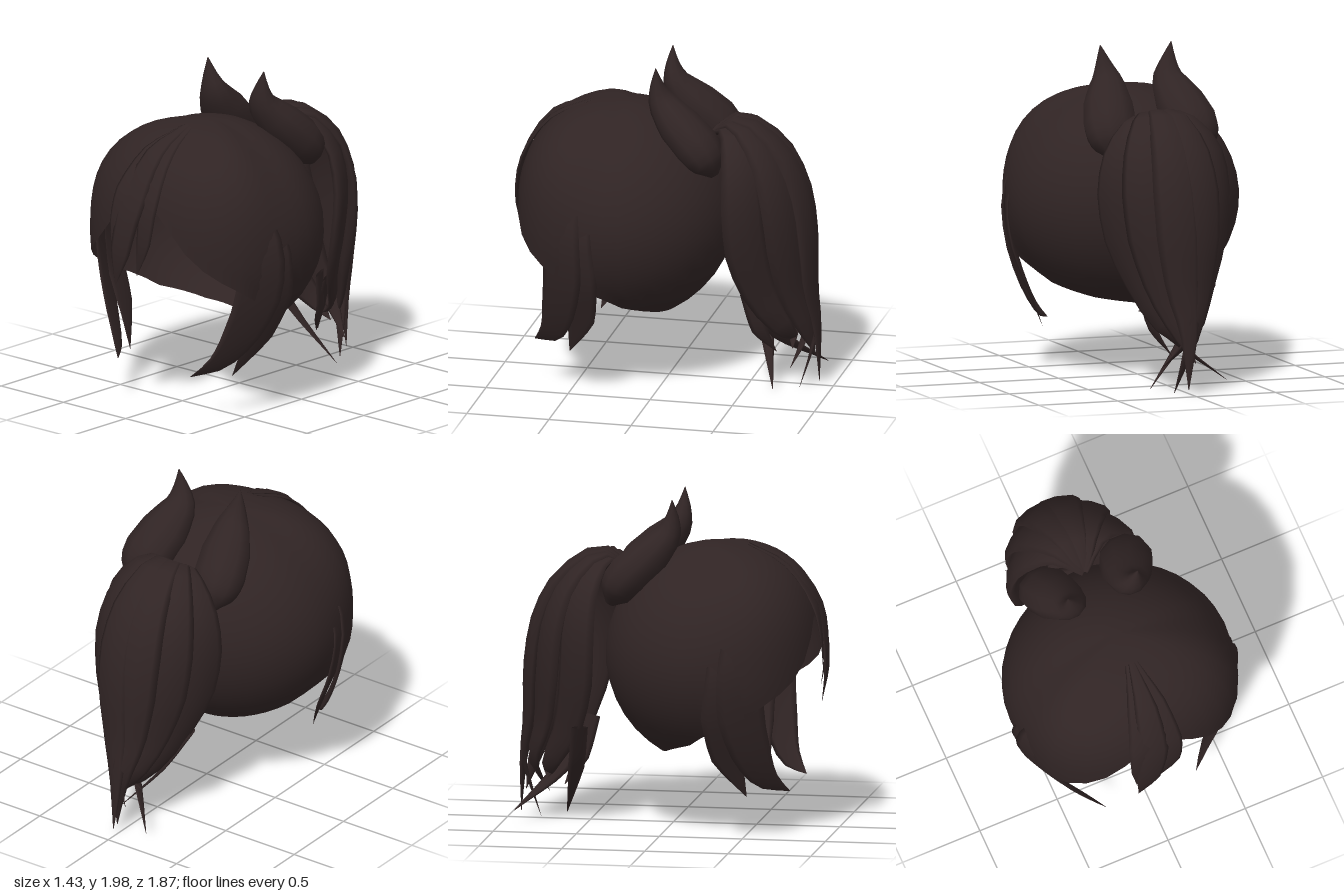
import * as THREE from 'three';
import { mergeVertices } from 'three/addons/utils/BufferGeometryUtils.js';

const V = (a) => new THREE.Vector3(...a);
const lerp = THREE.MathUtils.lerp;
const rad = THREE.MathUtils.degToRad;

// Value of a list spread evenly over 0..1
function sample(list, t) {
  const f = t * (list.length - 1), i = Math.min(Math.floor(f), list.length - 2);
  return lerp(list[i], list[i + 1], f - i);
}

// Value of a table of [key, value] rows
function lookup(rows, k) {
  let i = 0;
  while (i < rows.length - 2 && k > rows[i + 1][0]) i++;
  const [a, b] = [rows[i], rows[i + 1]];
  return lerp(a[1], b[1], THREE.MathUtils.clamp((k - a[0]) / (b[0] - a[0]), 0, 1));
}

// Oval tube along a path: half widths lie along `side`, thickness across it
function loft(points, widths, flat, side, rings = 12, sides = 8) {
  const curve = new THREE.CatmullRomCurve3(points.map(V));
  const pos = [], idx = [];
  for (let i = 0; i <= rings; i++) {
    const t = i / rings, p = curve.getPoint(t), T = curve.getTangent(t);
    const S = V(side).addScaledVector(T, -V(side).dot(T)).normalize();
    const N = T.clone().cross(S), w = sample(widths, t);
    for (let j = 0; j < sides; j++) {
      const a = j / sides * Math.PI * 2;
      const q = p.clone().addScaledVector(S, w * Math.cos(a)).addScaledVector(N, w * flat * Math.sin(a));
      pos.push(q.x, q.y, q.z);
      if (i < rings) {
        const k = (j + 1) % sides, r = i * sides;
        idx.push(r + j, r + k, r + sides + k, r + j, r + sides + k, r + sides + j);
      }
    }
  }
  const g = new THREE.BufferGeometry();
  g.setAttribute('position', new THREE.Float32BufferAttribute(pos, 3));
  g.setIndex(idx);
  g.computeVertexNormals();
  return g;
}

// Open rounded cap; its rim (polar angle by azimuth, in degrees) leaves the face free
function capGeometry() {
  const rim = [[0, 68], [12, 70], [24, 86], [38, 98], [54, 107], [70, 118], [87, 128],
    [98, 136], [135, 147], [180, 154]];
  const rows = 16, cols = 40, pos = [], idx = [];
  for (let i = 0; i <= rows; i++) {
    for (let j = 0; j < cols; j++) {
      const deg = j / cols * 360, a = rad(deg);
      const t = rad(lookup(rim, Math.min(deg, 360 - deg))) * i / rows;
      const u = [Math.sin(t) * Math.sin(a), Math.cos(t), Math.sin(t) * Math.cos(a)];
      const n = 1.96 + 0.54 * THREE.MathUtils.smoothstep(Math.cos(a), 0, 0.6);
      const r = Math.pow(u.reduce((s, c) => s + Math.abs(c) ** n, 0), -1 / n);
      pos.push(u[0] * r * 0.7, 1.05 + u[1] * r * 0.67, 0.25 + u[2] * r * (u[2] > 0 ? 0.635 : 0.65));
      if (i < rows) {
        const k = (j + 1) % cols, p = i * cols, q = p + cols;
        idx.push(p + j, q + j, q + k, p + j, q + k, p + k);
      }
    }
  }
  const g = new THREE.BufferGeometry();
  g.setAttribute('position', new THREE.Float32BufferAttribute(pos, 3));
  g.setIndex(idx);
  const merged = mergeVertices(g, 1e-4);
  merged.computeVertexNormals();
  return merged;
}

export function createModel() {
  const group = new THREE.Group();
  const hair = new THREE.MeshStandardMaterial({ color: 0x302424, side: THREE.DoubleSide });
  hair.name = 'dark brown hair';
  const add = (name, geometry) => {
    const mesh = new THREE.Mesh(geometry, hair);
    mesh.name = name;
    group.add(mesh);
  };

  add('hairCap', capGeometry());

  // Centre fringe locks hanging from the crown
  add('fringeLockLong', loft([[0, 1.72, 0.46], [-0.02, 1.6, 0.72], [-0.05, 1.32, 0.89], [-0.1, 1.02, 0.94], [-0.155, 0.8, 0.92]],
    [0.02, 0.07, 0.1, 0.075, 0.002], 0.15, [1, 0, 0]));
  add('fringeLockLeft', loft([[0.02, 1.71, 0.46], [0.05, 1.6, 0.7], [0.07, 1.35, 0.87], [0.06, 1.1, 0.91], [-0.01, 0.88, 0.89]],
    [0.02, 0.06, 0.075, 0.055, 0.002], 0.15, [1, 0, 0]));
  add('fringeLockRight', loft([[-0.02, 1.71, 0.46], [-0.07, 1.6, 0.7], [-0.12, 1.38, 0.87], [-0.15, 1.18, 0.92], [-0.17, 1.0, 0.93]],
    [0.02, 0.06, 0.075, 0.05, 0.002], 0.15, [1, 0, 0]));

  for (const s of [1, -1]) {
    const m = (pts) => pts.map(([x, y, z]) => [x * s, y, z]);
    const label = s > 0 ? 'left' : 'right';

    // Pointed ears leaning forward from the back of the cap
    add(label + 'Ear', loft(
      m([[0.27, 1.37, -0.34], [0.265, 1.44, -0.3], [0.26, 1.53, -0.24], [0.225, 1.65, -0.115], [0.195, 1.78, -0.005], [0.205, 1.88, 0.025], [0.225, 2, 0.03]]),
      [0.03, 0.13, 0.165, 0.155, 0.105, 0.055, 0.002], 0.82, [1, 0, 0], 14, 10));

    // Face-framing locks, wrapping inward at the front
    add(label + 'FrontSideLock', loft(
      m([[0.55, 1.4, 0.48], [0.645, 1.08, 0.505], [0.62, 0.8, 0.51], [0.52, 0.54, 0.56], [0.41, 0.37, 0.63], [0.29, 0.28, 0.75]]),
      [0.05, 0.14, 0.15, 0.12, 0.075, 0.002], 0.1, [-0.55 * s, 0, 1]));
    add(label + 'RearSideLock', loft(
      m([[0.61, 1.3, 0.37], [0.675, 1.04, 0.4], [0.645, 0.78, 0.4], [0.54, 0.52, 0.42], [0.41, 0.26, 0.51]]),
      [0.03, 0.09, 0.125, 0.1, 0.002], 0.1, [-0.35 * s, 0, 1]));
  }

  // Ponytail: petal-like locks fan out from one root, droop and gather.
  // Rows: height, largest x, z of the outermost locks, z of the middle locks
  const rows = [[1.61, 0.14, -0.4, -0.44], [1.45, 0.29, -0.49, -0.69], [1.2, 0.34, -0.52, -0.82],
    [0.9, 0.3, -0.54, -0.87], [0.6, 0.19, -0.61, -0.88], [0.35, 0.06, -0.74, -0.91]];
  const locks = [[-58, [0.04, 0.25, -0.76]], [-37, [0.14, 0.16, -0.77]], [-14, [0.07, 0.02, -0.81]],
    [10, [0.02, 0.05, -0.92]], [35, [-0.04, 0.2, -0.88]], [58, [-0.07, 0.27, -0.75]]];
  const edge = rad(58);
  locks.forEach(([deg, tip], i) => {
    const a = rad(deg), middle = (Math.cos(a) - Math.cos(edge)) / (1 - Math.cos(edge));
    const path = rows.map(([y, x, zSide, zMid]) => [x * Math.sin(a) / Math.sin(edge), y + 0.04 * middle, lerp(zSide, zMid, middle)]);
    add('ponytailLock' + (i + 1), loft([[0, 1.53, -0.25], ...path, tip],
      [0.03, 0.07, 0.11, 0.13, 0.13, 0.1, 0.055, 0.002], 0.3, [Math.cos(a), 0, Math.sin(a)], 16));
  });

  // Loose wisps crossing at the end of the ponytail
  [[[-0.27, 0.62, -0.52], [-0.1, 0.35, -0.57], [0.17, 0.03, -0.67]],
    [[0.2, 0.6, -0.56], [0.03, 0.33, -0.68], [-0.22, 0.1, -0.92]],
    [[0.17, 0.62, -0.52], [0.12, 0.38, -0.58], [0.03, 0.22, -0.66]]].forEach((p, i) =>
    add('wisp' + (i + 1), loft(p, [0.05, 0.05, 0.002], 0.2, [0.3, 0, 1], 8, 6)));

  return group;
}
